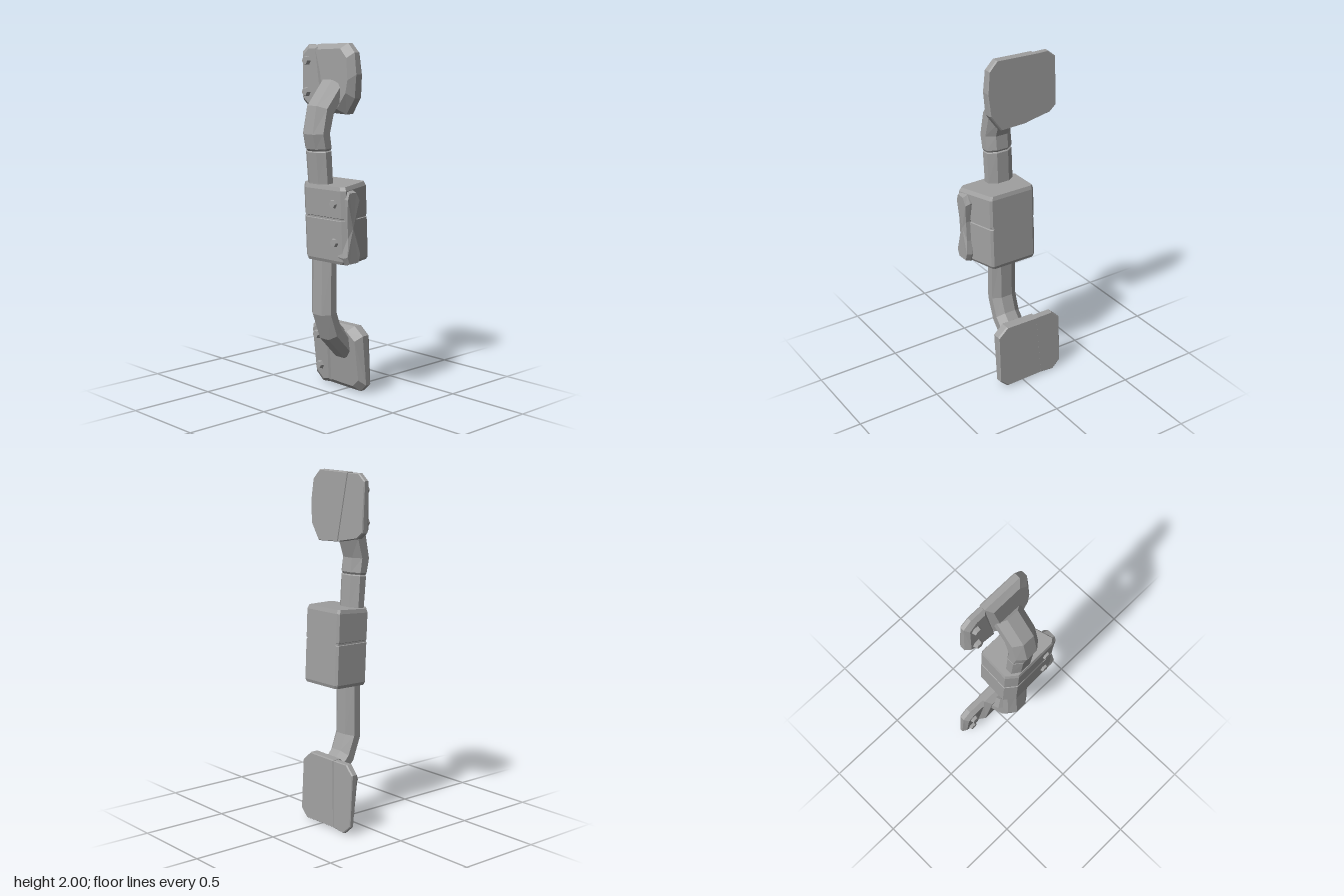
import * as THREE from 'three';

// Skin closed rings of [x,y,z] points, fan-capping both ends; faces are oriented outwards.
function loft(rings) {
  const tris = [];
  const n = rings[0].length;
  const mean = r => [0, 1, 2].map(k => r.reduce((s, p) => s + p[k], 0) / n);
  for (let i = 0; i < rings.length - 1; i++) {
    const a = rings[i], b = rings[i + 1];
    for (let j = 0; j < n; j++) {
      const k = (j + 1) % n;
      tris.push([a[j], a[k], b[k]], [a[j], b[k], b[j]]);
    }
  }
  const first = rings[0], last = rings[rings.length - 1];
  const c0 = mean(first), c1 = mean(last);
  for (let j = 0; j < n; j++) {
    const k = (j + 1) % n;
    tris.push([c0, first[k], first[j]], [c1, last[j], last[k]]);
  }
  // Signed volume tells whether the winding must be reversed
  const V = p => new THREE.Vector3(...p);
  const vol = tris.reduce((s, t) => s + V(t[0]).dot(V(t[1]).cross(V(t[2]))), 0);
  if (vol < 0) tris.forEach(t => t.reverse());
  const g = new THREE.BufferGeometry();
  g.setAttribute('position', new THREE.Float32BufferAttribute(tris.flat(2), 3));
  g.computeVertexNormals();
  return g;
}

// Slab facing +x: outline of [z,y], outer and inner x as functions of y, bevelled on the inside
function slab(outline, outer, inner, bevel) {
  const n = outline.length;
  const cz = outline.reduce((s, p) => s + p[0], 0) / n;
  const cy = outline.reduce((s, p) => s + p[1], 0) / n;
  const ring = (t, inset) => outline.map(([z, y]) => {
    const zz = z - Math.sign(z - cz) * inset, yy = y - Math.sign(y - cy) * inset;
    return [outer(yy) + (inner(yy) - outer(yy)) * t, yy, zz];
  });
  return loft([ring(0, 0.004), ring(0.1, 0), ring(0.55, 0), ring(1, bevel)]);
}

// Straight line x(y) through two points
const line = (y0, x0, y1, x1) => y => x0 + (x1 - x0) * (y - y0) / (y1 - y0);

export function createModel() {
  const group = new THREE.Group();
  const metal = new THREE.MeshStandardMaterial({ color: 0xa0a0a0 });
  metal.name = 'grey metal';
  const add = (name, geometry) => {
    const m = new THREE.Mesh(geometry, metal);
    m.name = name;
    group.add(m);
    return m;
  };

  // Upper mounting plate with a thinner screw flap
  const topOuter = line(2, 0.066, 1.62, 0.087);
  add('upperPlate', slab(
    [[0.165, 1.95], [0.115, 2], [-0.125, 1.993], [-0.065, 1.615], [0.1, 1.61], [0.165, 1.7], [0.178, 1.83]],
    topOuter, line(1.95, -0.005, 1.65, -0.015), 0.03));
  add('upperFlap', slab(
    [[-0.115, 1.99], [-0.21, 1.99], [-0.26, 1.95], [-0.26, 1.675], [-0.22, 1.642], [-0.06, 1.615]],
    y => topOuter(y) - 0.005, line(1.95, 0.015, 1.65, 0.013), 0.022));

  // Lower mounting plate with its flap
  const lowOuter = line(0.4, 0.149, 0.01, 0.17);
  add('lowerPlate', slab(
    [[0.165, 0.35], [0.105, 0.4], [-0.1, 0.397], [-0.125, 0.014], [0.115, 0.01], [0.165, 0.055]],
    lowOuter, line(0.36, 0.058, 0.05, 0.1), 0.03));
  add('lowerFlap', slab(
    [[-0.095, 0.395], [-0.21, 0.395], [-0.262, 0.345], [-0.262, 0.05], [-0.21, 0.003], [-0.12, 0.012]],
    y => lowOuter(y) - 0.004, line(0.36, 0.085, 0.05, 0.122), 0.022));

  // Octagonal grab bar: [x, y, normal angle, half width, z scale]
  const path = [
    [0.11, 0.25, -0.85, 0.06, 0.95], [-0.01, 0.375, -0.75, 0.06, 0.95],
    [-0.055, 0.495, -0.2, 0.055, 0.97], [-0.055, 0.8, 0.04, 0.048, 0.97],
    [-0.082, 1.24, 0.07, 0.05, 0.97], [-0.095, 1.41, 0.08, 0.054, 0.98],
    [-0.096, 1.416, 0.08, 0.047, 0.92], [-0.097, 1.428, 0.08, 0.056, 1],
    [-0.112, 1.51, 0.05, 0.062, 1], [-0.082, 1.635, -0.4, 0.069, 1],
    [0.02, 1.755, -0.75, 0.066, 1],
  ];
  const octagon = [[1, -0.45], [1, 0.45], [0.4, 1], [-0.4, 1], [-1, 0.45], [-1, -0.45], [-0.4, -1], [0.4, -1]];
  add('grabBar', loft(path.map(([x, y, a, w, s], i) => {
    const tilt = i < 4 ? -a : a; // lower bend mirrors the upper one
    return octagon.map(([u, v]) => [
      x - Math.cos(tilt) * u * w, y - Math.sin(tilt) * u * w, 0.01 + v * 0.082 * s]);
  })));

  // Clamp block around the bar, with a seam at mid height
  const section = [
    [-0.127, 0.225], [-0.108, 0.25], [0.105, 0.188], [0.116, 0.175], [0.116, -0.085],
    [0.106, -0.1], [-0.085, -0.11], [-0.133, -0.05]];
  const rows = [[0.8, 0.95], [0.818, 1], [1.042, 1], [1.045, 0.965], [1.055, 0.965], [1.058, 1], [1.215, 1], [1.237, 0.95]];
  add('clampBlock', loft(rows.map(([y, s]) => section.map(([x, z]) => {
    const seam = y > 1.04 && y < 1.06;
    const shift = (1.02 - y) * 0.045;
    return [x * (seam && x > 0 ? 1 : s) + shift, y + (y > 1.2 ? x * 0.05 : 0), z * s];
  }))));

  // Waisted lever on the front of the block
  const leverShape = [
    [-0.108, 1.21], [-0.052, 1.21], [-0.024, 1.165], [-0.038, 1.05], [-0.03, 0.93], [-0.016, 0.85],
    [-0.03, 0.802], [-0.105, 0.8], [-0.124, 0.84], [-0.108, 0.95], [-0.115, 1.05], [-0.122, 1.17]];
  const leverRing = (z, s) => leverShape.map(([x, y]) => [
    -0.07 + (x + 0.07) * s, 1 + (y - 1) * (0.5 + s / 2), z - (Math.abs(y - 1) < 0.1 ? 0.01 : 0)]);
  add('lever', loft([leverRing(0.19, 0.95), leverRing(0.235, 1), leverRing(0.264, 0.9)]));

  // Hexagonal screw heads on the flaps and the block side
  const screws = [
    ['upperScrew', 0.008, 1.9, -0.2], ['upperScrew', 0.006, 1.725, -0.2],
    ['lowerScrew', 0.086, 0.3, -0.2], ['lowerScrew', 0.11, 0.11, -0.2],
    ['blockScrew', -0.132, 1.135, 0.17], ['blockScrew', -0.124, 0.92, 0.17]];
  for (const [name, x, y, z] of screws) {
    const g = new THREE.CylinderGeometry(0.022, 0.03, 0.032, 6).toNonIndexed();
    g.computeVertexNormals();
    const m = add(name, g);
    m.rotation.z = Math.PI / 2;
    m.position.set(x, y, z);
  }
  return group;
}
